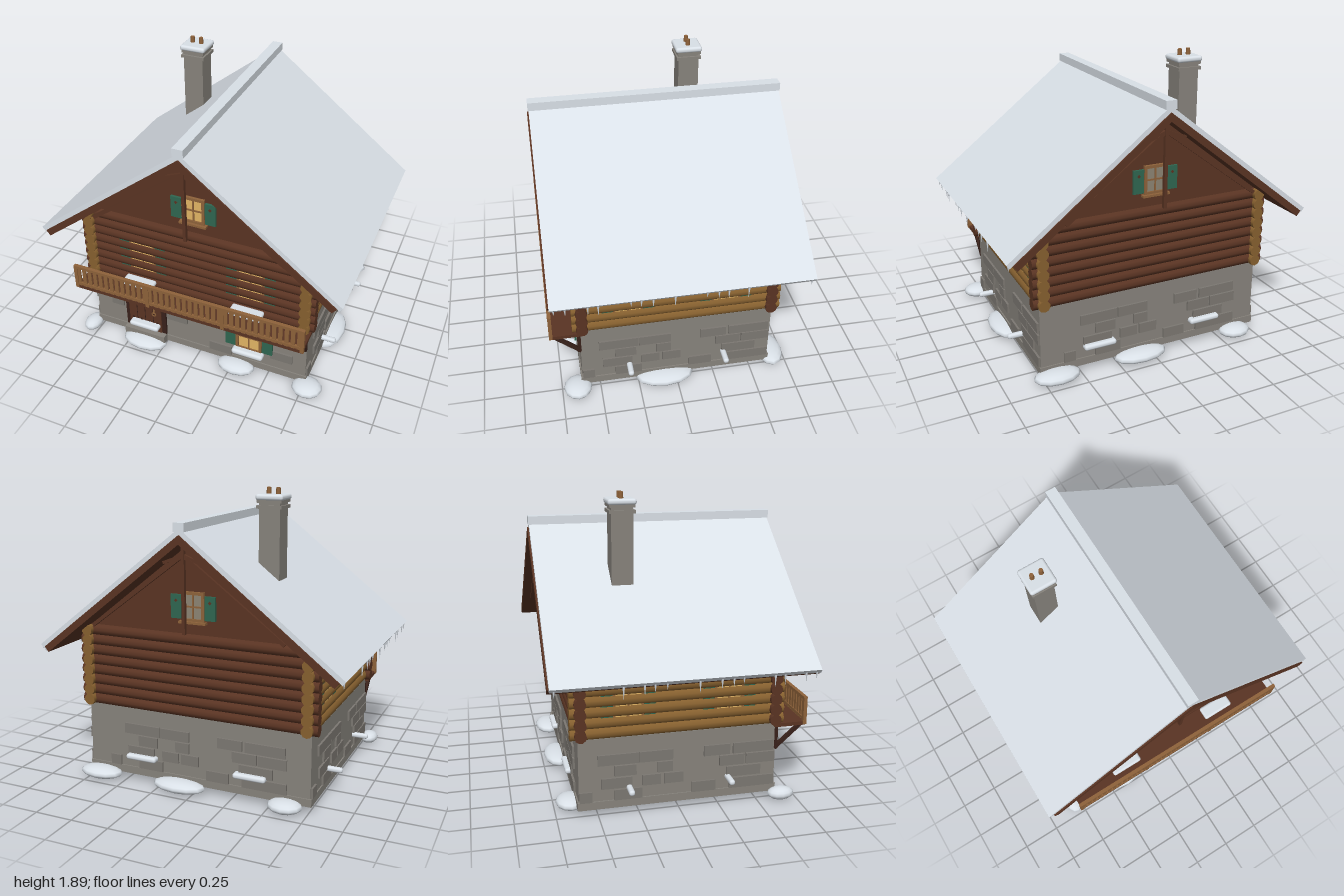
import * as THREE from 'three';
import { RoundedBoxGeometry } from 'three/addons/geometries/RoundedBoxGeometry.js';

const paint = (name, color) => {
  const m = new THREE.MeshStandardMaterial({ color });
  m.name = name;
  return m;
};

export function createModel() {
  const snow = paint('snow', 0xdfe6ed), stone = paint('stone', 0x87837c), block = paint('stone block', 0x7c7872);
  const wood = paint('dark wood', 0x5a3423), sideWood = paint('golden log', 0x86602f), trim = paint('trim wood', 0x8e623a);
  const beam = paint('beam', 0x38211a), green = paint('shutter green', 0x2f6650);
  const glow = paint('lit glass', 0xe3b565), dim = paint('dim glass', 0x8c8473);
  const house = new THREE.Group();
  house.name = 'cabin';

  const add = (name, geo, mat, x = 0, y = 0, z = 0, parent = house) => {
    const m = new THREE.Mesh(geo, mat);
    m.name = name;
    m.position.set(x, y, z);
    parent.add(m);
    return m;
  };
  // Box given by its extents
  const box = (name, mat, x0, x1, y0, y1, z0, z1, parent) =>
    add(name, new THREE.BoxGeometry(x1 - x0, y1 - y0, z1 - z0), mat, (x0 + x1) / 2, (y0 + y1) / 2, (z0 + z1) / 2, parent);
  const softBox = (name, mat, w, h, d, x, y, z, parent) =>
    add(name, new RoundedBoxGeometry(w, h, d, 3, Math.min(w, h, d) * 0.45), mat, x, y, z, parent);
  // Bar between two points in the xy plane
  const bar = (name, mat, x0, y0, x1, y1, z, w, d) => {
    const m = add(name, new THREE.BoxGeometry(Math.hypot(x1 - x0, y1 - y0), w, d), mat, (x0 + x1) / 2, (y0 + y1) / 2, z);
    m.rotation.z = Math.atan2(y1 - y0, x1 - x0);
    return m;
  };
  const prism = (name, mat, pts, depth) => {
    const g = new THREE.ExtrudeGeometry(new THREE.Shape(pts.map(p => new THREE.Vector2(...p))), { depth, bevelEnabled: false });
    return add(name, g.translate(0, 0, -depth / 2), mat);
  };
  // Facing group: its local +z points out of a wall
  const facing = (name, x, z, turn) => {
    const g = new THREE.Group();
    g.name = name;
    g.position.set(x, 0, z);
    g.rotation.y = turn;
    house.add(g);
    return g;
  };

  // Stone ground floor
  box('groundFloor', stone, -0.76, 0.76, 0.05, 0.5, -0.615, 0.615);
  box('plinth', stone, -0.768, 0.768, 0.05, 0.1, -0.623, 0.623);
  const rows = [0.1, 0.178, 0.255, 0.33, 0.41];
  // Raised blocks: course, start and end along each wall
  const frontBlocks = [[2, -0.64, -0.55], [3, -0.65, -0.53], [4, -0.23, -0.06], [3, -0.04, 0.13], [2, -0.22, -0.07],
    [0, 0.09, 0.25], [1, 0.52, 0.67], [3, 0.33, 0.46]];
  const sideBlocks = [[3, -0.5, -0.25], [3, -0.245, -0.04], [3, 0.155, 0.32], [2, -0.4, -0.265], [2, -0.135, -0.04],
    [2, 0.255, 0.415], [2, 0.425, 0.61], [1, -0.48, -0.29], [1, -0.23, -0.115], [1, -0.095, 0.025], [1, 0.3, 0.52],
    [0, -0.61, -0.535], [0, -0.4, -0.23], [0, 0.08, 0.23], [0, 0.32, 0.61], [3, 0.34, 0.6]];
  const walls = [['front', 0, 0.615, 0, frontBlocks], ['right', 0.76, 0, Math.PI / 2, sideBlocks],
    ['back', 0, -0.615, Math.PI, sideBlocks], ['left', -0.76, 0, -Math.PI / 2, sideBlocks]];
  for (const [n, x, z, turn, list] of walls) {
    const g = facing(n + 'Stones', x, z, turn);
    for (const [r, a, b] of list) box('stoneBlock', block, a, b, rows[r], rows[r] + 0.067, -0.01, 0.013, g);
  }

  // Log storey
  box('logCore', wood, -0.74, 0.74, 0.5, 1.03, -0.6, 0.6);
  const xLog = new THREE.CylinderGeometry(0.037, 0.037, 1.6, 10).rotateZ(Math.PI / 2);
  const zLog = new THREE.CylinderGeometry(0.037, 0.037, 1.32, 10).rotateX(Math.PI / 2);
  for (let i = 0; i < 8; i++) for (const s of [-1, 1]) {
    const y = 0.533 + i * 0.066;
    add('gableLog', xLog, wood, 0, y, s * 0.6);
    add('sideLog', zLog, sideWood, s * 0.74, y, 0);
  }

  // Gable attic
  prism('attic', wood, [[-0.77, 0.99], [0.77, 0.99], [0.77, 1.01], [0, 1.615], [-0.77, 1.01]], 1.22);

  // Roof layers, each a chevron extruded along the ridge
  const chevron = (name, mat, top, w, t, depth) => {
    const s = 0.781, c = 0.788, n = 0.616, lx = w - t * n, ly = top - s * w - t * c;
    prism(name, mat, [[0, top], [-w, top - s * w], [-lx, ly], [0, top - t / c], [lx, ly], [w, top - s * w]], depth);
  };
  chevron('roofBoards', wood, 1.652, 0.965, 0.042, 1.6);
  chevron('roofSnow', snow, 1.69, 1.0, 0.03, 1.58);
  box('ridgeSnow', snow, -0.035, 0.035, 1.67, 1.722, -0.795, 0.795);

  // Gable truss under each overhang
  for (const s of [-1, 1]) {
    const z = s * 0.74;
    box('kingPost', wood, -0.01, 0.01, 1.06, 1.62, z - 0.012, z + 0.012);
    for (const m of [-1, 1]) {
      bar('trussRafter', wood, m * 0.63, 1.06, 0, 1.53, z, 0.022, 0.02);
      bar('trussBrace', wood, m * 0.13, 1.48, 0, 1.53, z, 0.018, 0.018);
    }
  }

  // Icicles along the eaves
  [0.765, 0.7, 0.57, 0.51, 0.32, 0.26, 0.19, 0.06, -0.13, -0.2, -0.26, -0.38, -0.765].forEach((z, i) => {
    const h = 0.04 + ((i * 5) % 4) * 0.014;
    for (const s of [-1, 1])
      add('icicle', new THREE.ConeGeometry(0.008, h, 6).rotateX(Math.PI), snow, s * 0.982, 0.895 - h / 2, z);
  });

  // Chimney
  const cx = -0.375, cz = -0.275;
  box('chimneyShaft', stone, cx - 0.067, cx + 0.067, 1.1, 1.82, cz - 0.067, cz + 0.067);
  box('chimneyBand', stone, cx - 0.08, cx + 0.08, 1.775, 1.795, cz - 0.08, cz + 0.08);
  box('chimneyCap', stone, cx - 0.078, cx + 0.078, 1.81, 1.832, cz - 0.078, cz + 0.078);
  softBox('chimneySnow', snow, 0.175, 0.036, 0.175, cx, 1.843, cz);
  for (const s of [-1, 1]) add('chimneyPot', new THREE.CylinderGeometry(0.013, 0.016, 0.05, 10), trim, cx + s * 0.03, 1.875, cz);

  // Shuttered window, built on local z = 0
  const shutteredWindow = (g, x, y0, y1, half, glass, shutter = 0.07) => {
    box('glass', glass, x - half, x + half, y0, y1, -0.004, 0.004, g);
    for (const s of [-1, 1]) {
      const e = x + s * half;
      box('frameSide', trim, e - 0.009, e + 0.009, y0, y1, -0.005, 0.014, g);
      box('frameRail', trim, x - half - 0.009, x + half + 0.009, (s < 0 ? y0 : y1) - 0.009, (s < 0 ? y0 : y1) + 0.009, -0.005, 0.014, g);
      const a = x + s * (half + 0.012), b = x + s * (half + 0.012 + shutter), m = (a + b) / 2, h = y1 - y0;
      box('shutter', green, Math.min(a, b), Math.max(a, b), y0 + 0.005, y1 - 0.012, -0.005, 0.012, g);
      const d = box('shutterCutout', wood, m - 0.008, m + 0.008, y0 + h * 0.65, y0 + h * 0.65 + 0.016, 0.01, 0.014, g);
      d.rotation.z = Math.PI / 4;
    }
    box('mullion', trim, x - 0.005, x + 0.005, y0, y1, 0, 0.01, g);
    box('crossbar', trim, x - half, x + half, (y0 + y1) / 2 - 0.005, (y0 + y1) / 2 + 0.005, 0, 0.01, g);
  };
  for (const [n, z, turn, glass] of [['front', 0.614, 0, glow], ['back', -0.614, Math.PI, dim]]) {
    const g = facing(n + 'AtticWindow', 0, z, turn);
    shutteredWindow(g, 0, 1.12, 1.285, 0.066, glass);
    box('sill', trim, -0.09, 0.09, 1.1, 1.114, -0.005, 0.03, g);
  }
  const low = facing('groundWindow', 0, 0.628, 0);
  shutteredWindow(low, 0.375, 0.21, 0.41, 0.08, glow);
  softBox('sillSnow', snow, 0.215, 0.04, 0.06, 0.375, 0.193, 0.025, low);

  // Log storey windows, set between the log rounds
  for (const [n, x, z, turn, off] of [['front', 0, 0.617, 0, 0.375], ['right', 0.757, 0, Math.PI / 2, 0.31], ['left', -0.757, 0, -Math.PI / 2, 0.31]]) {
    const g = facing(n + 'LogWindows', x, z, turn);
    for (const s of [-1, 1]) {
      box('glass', glow, s * off - 0.08, s * off + 0.08, 0.62, 0.84, -0.004, 0.004, g);
      for (const m of [-1, 1]) {
        const c = s * off + m * 0.128;
        box('shutter', green, c - 0.036, c + 0.036, 0.62, 0.84, -0.004, 0.004, g);
        box('frameSide', trim, s * off + m * 0.085 - 0.008, s * off + m * 0.085 + 0.008, 0.62, 0.84, -0.004, 0.006, g);
      }
      box('mullion', trim, s * off - 0.005, s * off + 0.005, 0.62, 0.84, -0.004, 0.006, g);
    }
  }

  // Door
  box('doorFrame', beam, -0.53, -0.23, 0.1, 0.485, 0.6, 0.63);
  box('door', wood, -0.5, -0.26, 0.12, 0.465, 0.6, 0.64);
  for (let i = 1; i < 4; i++) box('plankSeam', beam, -0.502 + i * 0.06, -0.498 + i * 0.06, 0.12, 0.465, 0.636, 0.642);
  for (const y of [0.2, 0.405]) for (let i = 0; i < 4; i++)
    add('doorStud', new THREE.SphereGeometry(0.007, 8, 6), beam, -0.47 + i * 0.06, y, 0.641);
  add('doorHandle', new THREE.TorusGeometry(0.014, 0.004, 6, 12), trim, -0.31, 0.275, 0.645);
  box('handlePlate', trim, -0.316, -0.304, 0.28, 0.315, 0.638, 0.645);
  box('doorStep', stone, -0.53, -0.23, 0.05, 0.112, 0.6, 0.67);
  softBox('doorSnow', snow, 0.215, 0.036, 0.07, -0.375, 0.175, 0.655);

  // Balcony
  box('balconyFloor', wood, -0.785, 0.785, 0.483, 0.506, 0.6, 0.8);
  box('bottomRail', trim, -0.78, 0.78, 0.515, 0.533, 0.785, 0.803);
  box('topRail', trim, -0.785, 0.785, 0.648, 0.667, 0.782, 0.805);
  for (let i = 0; i < 39; i++) {
    const x = -0.76 + i * 0.04;
    box('baluster', trim, x - 0.013, x + 0.013, 0.506, 0.655, 0.789, 0.799);
  }
  for (const x of [-0.78, -0.26, 0.26, 0.78]) box('railPost', trim, x - 0.012, x + 0.012, 0.49, 0.665, 0.782, 0.804);
  for (const x of [-0.75, -0.25, 0.25, 0.75]) {
    const b = add('balconyBracket', new THREE.BoxGeometry(0.022, 0.022, 0.225), beam, x, 0.408, 0.697);
    b.rotation.x = -Math.atan2(0.14, 0.16);
    box('bracketPost', beam, x - 0.011, x + 0.011, 0.33, 0.485, 0.61, 0.632);
  }
  for (const x of [-0.375, 0.375]) softBox('balconySnow', snow, 0.215, 0.034, 0.09, x, 0.572, 0.69);

  // Snow ledges on the stone walls
  for (const s of [-1, 1]) {
    softBox('backLedgeSnow', snow, 0.215, 0.036, 0.06, s * 0.375, 0.178, -0.63);
    for (const z of [-0.31, 0.31]) softBox('sideLedgeSnow', snow, 0.215, 0.034, 0.036, s * 0.76, 0.178, z);
  }

  // Snow drifts around the base: x, z, half sizes along x and z
  const drift = new THREE.SphereGeometry(1, 12, 8);
  for (const [x, z, a, b] of [[-0.795, 0.65, 0.06, 0.085], [-0.375, 0.67, 0.16, 0.09], [0.29, 0.65, 0.13, 0.08], [0.785, 0.65, 0.1, 0.09],
    [0.77, 0.08, 0.1, 0.19], [0.67, -0.655, 0.15, 0.09], [0.1, -0.65, 0.18, 0.09], [-0.61, -0.65, 0.11, 0.09]])
    add('snowDrift', drift, snow, x, 0.045, z).scale.set(a, 0.04, b);

  return house;
}
